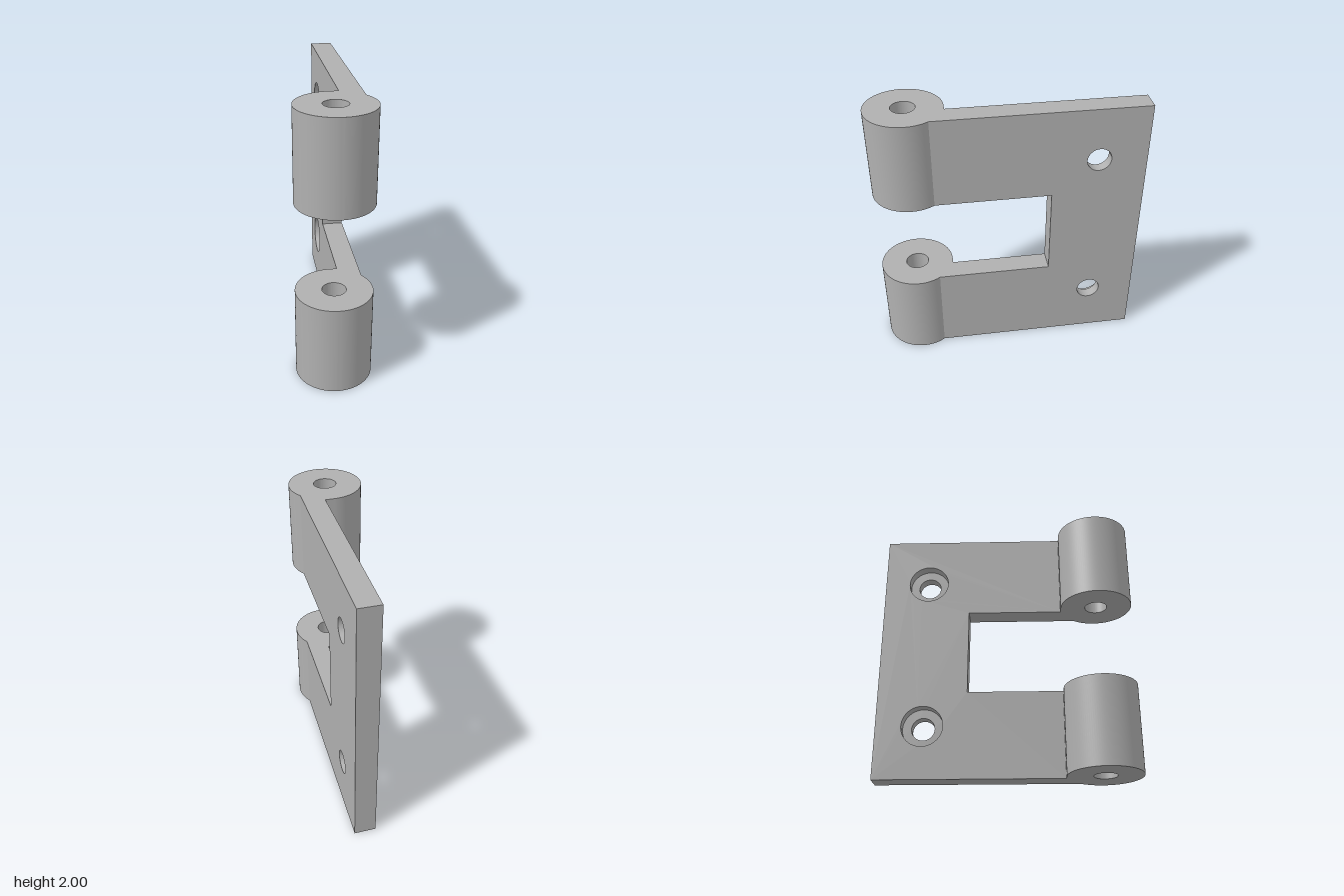
import * as THREE from 'three';
import { toCreasedNormals } from 'three/addons/utils/BufferGeometryUtils.js';

const R = 0.273, PIN_R = 0.085, PIN_Z = 0.7;      // knuckle barrel
const X0 = 0.062, X1 = 0.222;                     // leaf faces
const BACK = -0.973, JOIN = PIN_Z - R;            // leaf ends in z
const GAP_LOW = 0.665, GAP_HIGH = 1.335, GAP_Z = -0.295;
const SCREW_Z = -0.625, SCREW_YS = [0.4, 1.605];

function extrude(shape, depth) {
  const geometry = new THREE.ExtrudeGeometry(shape, { depth, bevelEnabled: false, curveSegments: 48 });
  return toCreasedNormals(geometry, 0.5);
}

function circleHole(x, y, r) {
  const path = new THREE.Path();
  path.absarc(x, y, r, 0, Math.PI * 2, true);
  return path;
}

// C-shaped plate drawn with (-z, y), extruded along x
function leafLayer(x, thickness, holeRadius) {
  const shape = new THREE.Shape([
    [-JOIN, 0], [-BACK, 0], [-BACK, 2], [-JOIN, 2],
    [-JOIN, GAP_HIGH], [-GAP_Z, GAP_HIGH], [-GAP_Z, GAP_LOW], [-JOIN, GAP_LOW],
  ].map(([u, v]) => new THREE.Vector2(u, v)));
  SCREW_YS.forEach((y) => shape.holes.push(circleHole(-SCREW_Z, y, holeRadius)));
  return extrude(shape, thickness).rotateY(Math.PI / 2).translate(x, 0, 0);
}

// Barrel blending into the leaf, drawn with (x, -z), extruded along y
function knuckle(y, height) {
  const shape = new THREE.Shape();
  const meet = Math.acos(X1 / R);
  shape.moveTo(X1, -JOIN);
  shape.lineTo(0, -JOIN);
  shape.absarc(0, -PIN_Z, R, Math.PI / 2, meet + Math.PI * 2, false);
  shape.closePath();
  shape.holes.push(circleHole(0, -PIN_Z, PIN_R));
  return extrude(shape, height).rotateX(-Math.PI / 2).translate(0, y, 0);
}

export function createModel() {
  const steel = new THREE.MeshStandardMaterial({ color: 0xb0b0b0 });
  steel.name = 'steel grey';
  const model = new THREE.Group();
  model.name = 'hingeHalf';

  const add = (name, geometry) => {
    const mesh = new THREE.Mesh(geometry, steel);
    mesh.name = name;
    model.add(mesh);
  };

  // Two layers give the screw holes their counterbores on the -x face
  const mid = X0 + 0.08;
  add('leafCounterboreLayer', leafLayer(X0, mid - X0, 0.155));
  add('leafScrewHoleLayer', leafLayer(mid, X1 - mid, 0.087));

  add('lowerKnuckle', knuckle(0, GAP_LOW));
  add('upperKnuckle', knuckle(GAP_HIGH, 2 - GAP_HIGH));
  return model;
}
